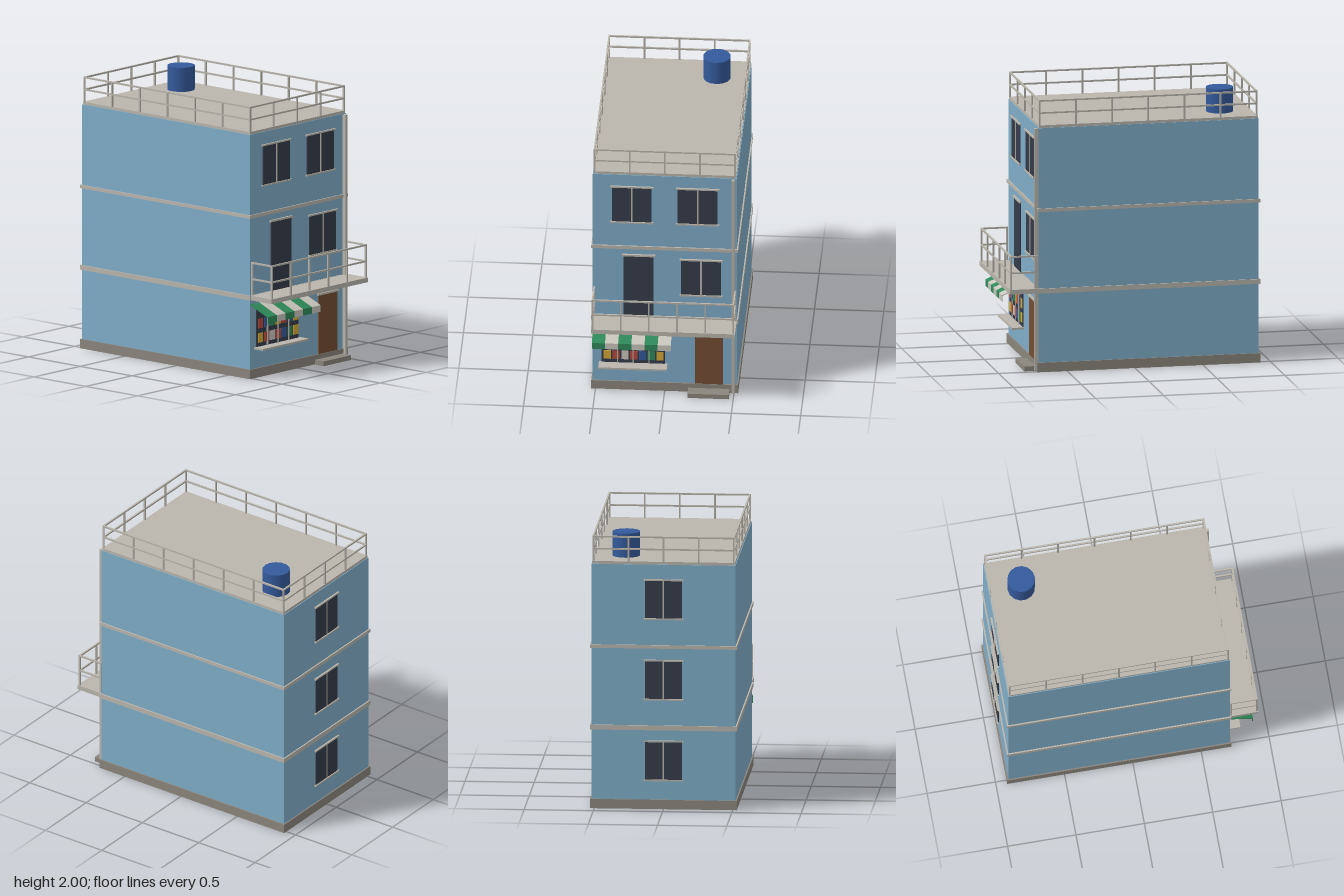
import * as THREE from 'three';

const mat = (name, color) => {
  const m = new THREE.MeshStandardMaterial({ color });
  m.name = name;
  return m;
};

export function createModel() {
  const wall = mat('blue wall', 0x7fadc8), concrete = mat('concrete', 0xbab6ad);
  const stone = mat('plinth stone', 0x8b867d), glass = mat('dark glass', 0x353c49);
  const wood = mat('door wood', 0x744d32), blue = mat('tank blue', 0x345a9c);
  const green = mat('green', 0x2f8a5a), red = mat('red', 0xb8473c);
  const yellow = mat('yellow', 0xd6a934), white = mat('off white', 0xc9c6bd);

  const root = new THREE.Group();
  root.name = 'building';
  const group = (name) => {
    const g = new THREE.Group();
    g.name = name;
    root.add(g);
    return g;
  };
  // Box given by its lower and upper limits on each axis
  const box = (parent, name, m, x0, x1, y0, y1, z0, z1) => {
    const mesh = new THREE.Mesh(new THREE.BoxGeometry(x1 - x0, y1 - y0, z1 - z0), m);
    mesh.position.set((x0 + x1) / 2, (y0 + y1) / 2, (z0 + z1) / 2);
    mesh.name = name;
    parent.add(mesh);
    return mesh;
  };

  const F = 0.71, B = -0.91; // front and back wall planes

  // Main block, plinth, floor bands, roof and downpipe
  box(root, 'walls', wall, -0.52, 0.52, 0, 1.795, B, F);
  box(root, 'plinth', stone, -0.53, 0.53, 0.002, 0.07, B - 0.01, F + 0.01);
  box(root, 'lowerBand', concrete, -0.53, 0.53, 0.58, 0.615, B - 0.01, F + 0.01);
  box(root, 'upperBand', concrete, -0.53, 0.53, 1.18, 1.205, B - 0.01, F + 0.01);
  box(root, 'roofSlab', concrete, -0.515, 0.515, 1.79, 1.815, B + 0.005, F - 0.005);
  box(root, 'downpipe', concrete, 0.482, 0.506, 0.01, 1.79, F, F + 0.027);
  box(root, 'doorStep', stone, 0.17, 0.468, 0, 0.035, F, 0.805);

  // Straight run of railing from a to b (x, z pairs) with posts and two rails
  const T = 0.012;
  const railing = (parent, a, b, y0, yMid, yTop, bays) => {
    const h = T / 2;
    for (let i = 0; i <= bays; i++) {
      const x = a[0] + (b[0] - a[0]) * i / bays, z = a[1] + (b[1] - a[1]) * i / bays;
      box(parent, 'post', concrete, x - h, x + h, y0, yTop - 0.002, z - h, z + h);
    }
    for (const y of [yMid, yTop - h]) {
      box(parent, 'rail', concrete, Math.min(a[0], b[0]) - h, Math.max(a[0], b[0]) + h,
        y - h, y + h, Math.min(a[1], b[1]) - h, Math.max(a[1], b[1]) + h);
    }
  };

  const roofRail = group('roofRailing');
  const zf = 0.7, zb = -0.898;
  for (const z of [zf, zb]) railing(roofRail, [-0.507, z], [0.507, z], 1.81, 1.905, 2, 4);
  for (const x of [-0.507, 0.507]) railing(roofRail, [x, zf], [x, zb], 1.81, 1.905, 2, 6);

  const balcony = group('balcony');
  box(balcony, 'balconySlab', concrete, -0.52, 0.52, 0.58, 0.614, F, 0.92);
  railing(balcony, [-0.508, 0.91], [0.508, 0.91], 0.61, 0.735, 0.86, 5);
  for (const x of [-0.508, 0.508]) railing(balcony, [x, 0.91], [x, 0.722], 0.61, 0.735, 0.86, 1);

  // Water tank
  const tank = new THREE.Mesh(new THREE.CylinderGeometry(0.1, 0.1, 0.178, 14), blue);
  tank.position.set(0.285, 1.903, -0.673);
  tank.name = 'waterTank';
  root.add(tank);

  // Two-pane window; built facing +z and turned round for the back wall
  const windowUnit = (name, cx, y0, z, back, w = 0.288, h = 0.29) => {
    const g = group(name);
    box(g, 'pane', glass, -w / 2, w / 2, 0, h, -0.002, 0.006);
    box(g, 'mullion', concrete, -0.006, 0.006, 0, h, 0, 0.01);
    for (const y of [-0.008, h - 0.002])
      box(g, 'sill', concrete, -w / 2 - 0.012, w / 2 + 0.012, y, y + 0.011, 0, 0.014);
    g.position.set(cx, y0, z);
    if (back) g.rotation.y = Math.PI;
  };
  windowUnit('topRightWindow', -0.238, 1.405, F, false);
  windowUnit('topLeftWindow', 0.238, 1.405, F, false);
  windowUnit('middleWindow', 0.262, 0.81, F, false);
  for (const y of [0.215, 0.808, 1.4]) windowUnit('backWindow', 0, y, B, true, 0.265, 0.28);

  // Doors with lintels
  const door = (name, m, x0, x1, y0, y1) => {
    const g = group(name);
    box(g, 'leaf', m, x0, x1, y0, y1, F - 0.002, F + 0.007);
    box(g, 'lintel', concrete, x0 - 0.012, x1 + 0.012, y1 - 0.002, y1 + 0.012, F, F + 0.015);
  };
  door('balconyDoor', glass, -0.297, -0.08, 0.612, 1.123);
  door('frontDoor', wood, 0.217, 0.42, 0.068, 0.503);

  // Shop window with two rows of goods, bars and a counter
  const shop = group('shopWindow');
  box(shop, 'shopPane', glass, -0.455, 0, 0.22, 0.5, F - 0.002, F + 0.006);
  box(shop, 'counter', concrete, -0.475, 0.02, 0.212, 0.226, F, 0.797);
  const rows = [
    { y: 0.255, colours: [yellow, red, white, red, blue, green, yellow] },
    { y: 0.36, colours: [red, blue, green, yellow, red, blue, yellow] },
  ];
  for (const { y, colours } of rows) {
    colours.forEach((m, i) => {
      const x = -0.44 + i * 0.0635;
      box(shop, 'goods', m, x, x + 0.052, y, y + 0.07, F + 0.004, F + 0.01);
    });
  }
  for (let i = 1; i < 4; i++) {
    const x = -0.455 + i * 0.1138;
    box(shop, 'bar', concrete, x - 0.004, x + 0.004, 0.226, 0.5, F + 0.004, F + 0.014);
  }

  // Striped awning: sloping sheet with a hanging front edge
  const awning = group('awning');
  const profile = new THREE.Shape([[F, 0.548], [0.88, 0.478], [0.88, 0.43], [0.875, 0.43], [0.875, 0.473], [F, 0.54]]
    .map(([z, y]) => new THREE.Vector2(-z, y)));
  const stripe = new THREE.ExtrudeGeometry(profile, { depth: 0.095, bevelEnabled: false });
  stripe.rotateY(Math.PI / 2);
  for (let i = 0; i < 6; i++) {
    const m = new THREE.Mesh(stripe, i % 2 ? white : green);
    m.position.x = -0.515 + i * 0.095;
    m.name = 'awningStripe';
    awning.add(m);
  }
  return root;
}
